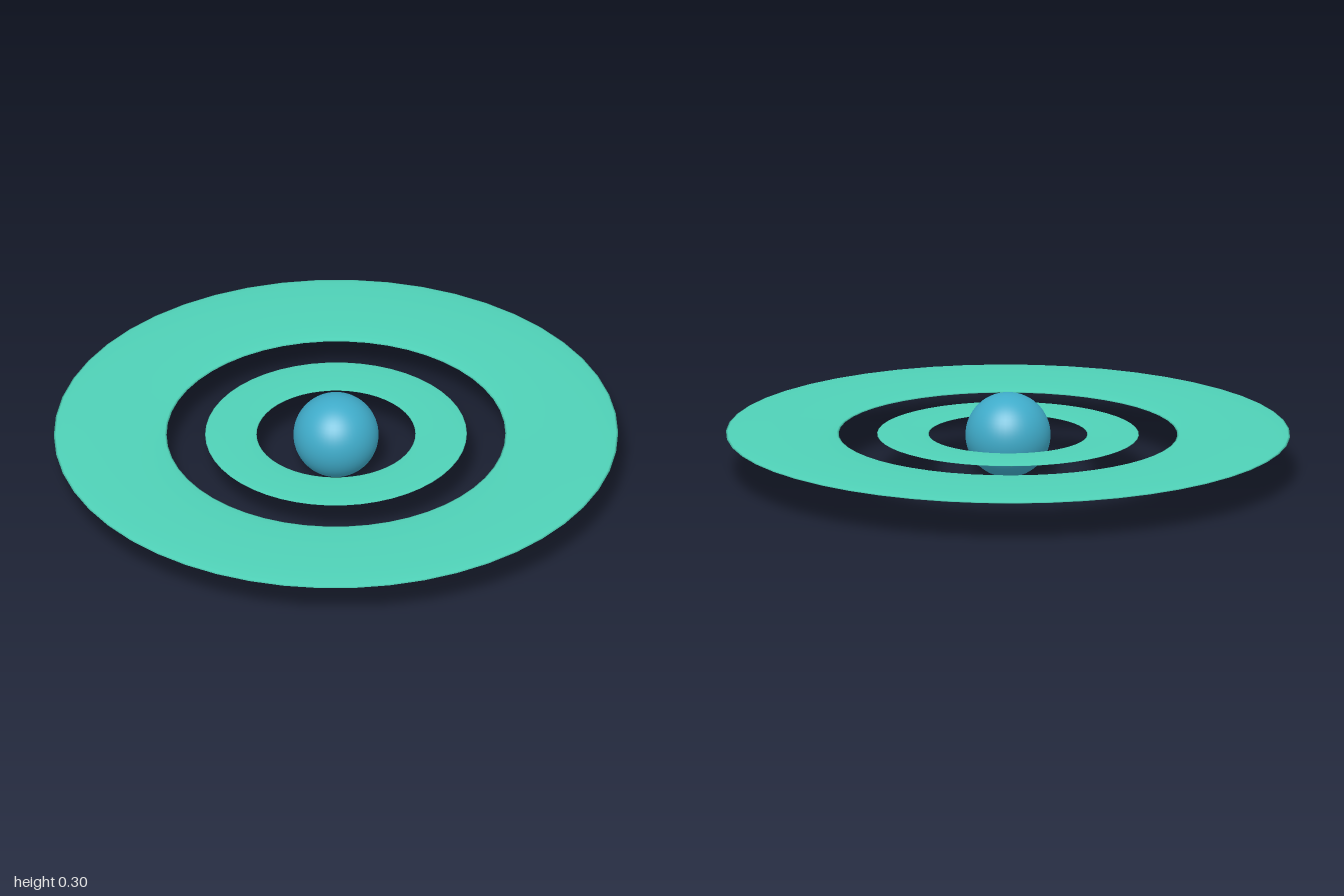
import * as THREE from 'three';

const CENTER_Y = 0.152;

// Flat ring: a torus laid down and squashed to a thin lens-shaped section
function makeRing(name, inner, outer, material) {
  const radius = (inner + outer) / 2;
  const tube = (outer - inner) / 2;
  const geometry = new THREE.TorusGeometry(radius, tube, 24, 50);
  geometry.rotateX(-Math.PI / 2);
  geometry.scale(1, 0.05, 1);
  const ring = new THREE.Mesh(geometry, material);
  ring.name = name;
  return ring;
}

export function createModel() {
  const model = new THREE.Group();
  model.name = 'ringedPlanet';

  const planetMaterial = new THREE.MeshStandardMaterial({ color: 0x3fabc9 });
  const ringMaterial = new THREE.MeshStandardMaterial({ color: 0x4fd1b7 });

  // Planet
  const planet = new THREE.Mesh(new THREE.SphereGeometry(0.151, 48, 32), planetMaterial);
  planet.name = 'planet';
  planet.position.y = CENTER_Y;
  model.add(planet);

  // Concentric rings, raised very slightly at the front
  const rings = new THREE.Group();
  rings.name = 'rings';
  rings.add(
    makeRing('innerRing', 0.281, 0.464, ringMaterial),
    makeRing('outerRing', 0.6, 1.0, ringMaterial)
  );
  rings.position.y = CENTER_Y + 0.002;
  rings.rotation.x = -0.004;
  model.add(rings);

  return model;
}
